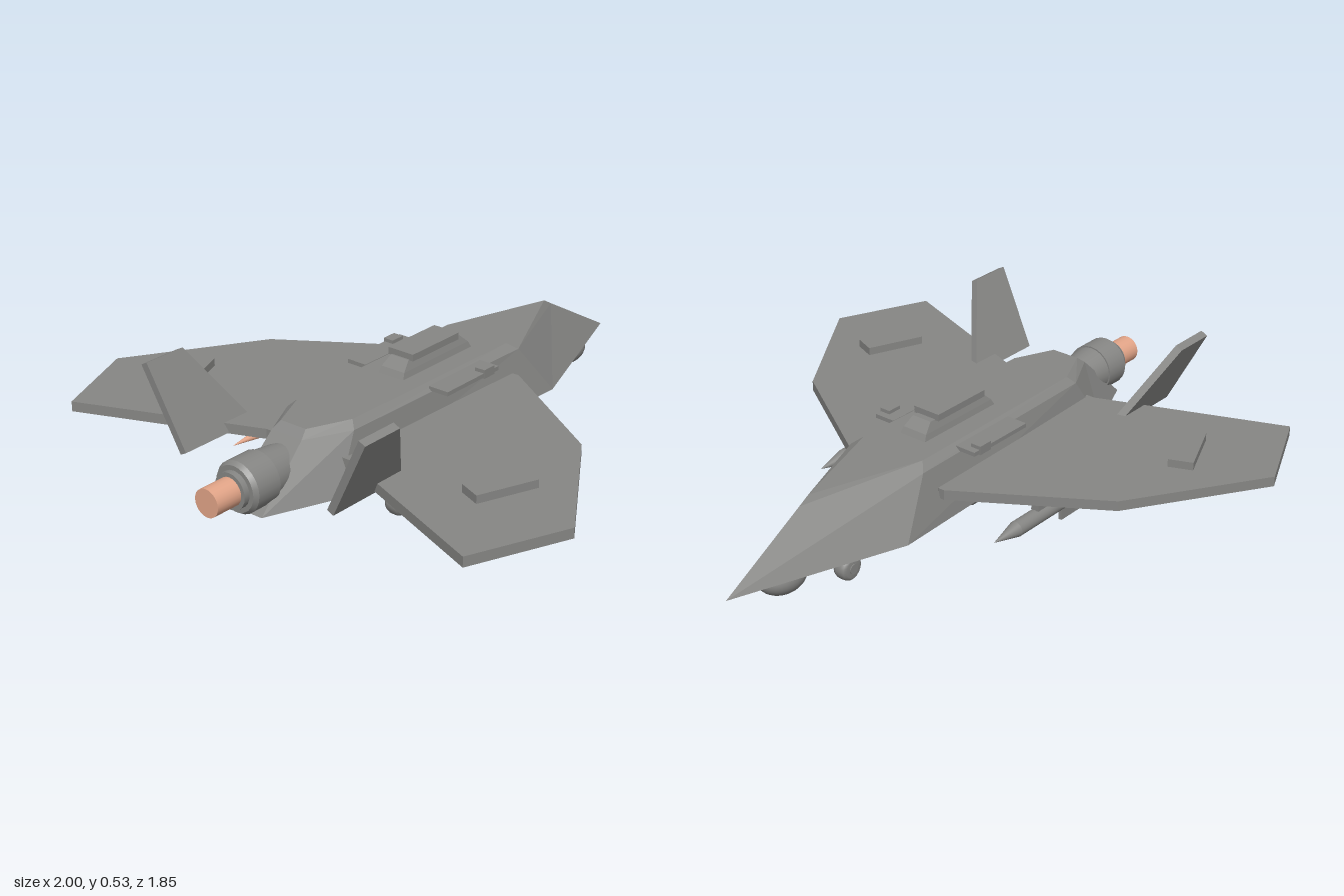
import * as THREE from 'three';

export function createModel() {
  const model = new THREE.Group();
  const grey = new THREE.MeshStandardMaterial({ name: 'airframe grey', color: 0x868684 });
  const copper = new THREE.MeshStandardMaterial({ name: 'exhaust copper', color: 0xe3a588 });

  const add = (name, geo, x = 0, y = 0, z = 0, mat = grey) => {
    const m = new THREE.Mesh(geo, mat);
    m.name = name;
    m.position.set(x, y, z);
    model.add(m);
    return m;
  };
  const box = (name, x0, x1, y0, y1, z0, z1) =>
    add(name, new THREE.BoxGeometry(x1 - x0, y1 - y0, Math.abs(z1 - z0)), (x0 + x1) / 2, (y0 + y1) / 2, (z0 + z1) / 2);
  // Cylinder along x: rBack at x0, rFront at x1
  const tube = (name, x0, x1, rBack, rFront, y, z, mat, sides = 24) =>
    add(name, new THREE.CylinderGeometry(rFront, rBack, x1 - x0, sides).rotateZ(-Math.PI / 2), (x0 + x1) / 2, y, z, mat);
  const plate = (pts, depth) => new THREE.ExtrudeGeometry(
    new THREE.Shape(pts.map(p => new THREE.Vector2(...p))), { depth, bevelEnabled: false });

  // Faceted solid from stacked plan outlines of equal point count: [y, [[x, z], ...]]
  const stack = (levels) => {
    const n = levels[0][1].length, pos = [], idx = [];
    for (const [y, ring] of levels) for (const [x, z] of ring) pos.push(x, y, z);
    for (let l = 0; l < levels.length - 1; l++) {
      for (let i = 0; i < n; i++) {
        const a = l * n + i, b = l * n + (i + 1) % n;
        idx.push(a, a + n, b, b, a + n, b + n);
      }
    }
    const t = (levels.length - 1) * n;
    for (let i = 1; i < n - 1; i++) idx.push(0, i, i + 1, t, t + i + 1, t + i);
    const g = new THREE.BufferGeometry();
    g.setAttribute('position', new THREE.Float32BufferAttribute(pos, 3));
    g.setIndex(idx);
    const flat = g.toNonIndexed();
    flat.computeVertexNormals();
    return flat;
  };
  // Closed symmetrical outline from a nose point and points on the +z side
  const outline = (nose, side) => [[nose, 0], ...side, ...side.map(([x, z]) => [x, -z]).reverse()];
  const rect = (x0, x1, w) => [[x1, -w], [x1, w], [x0, w], [x0, -w]];

  // Fuselage: broad belly, bevelled narrower top
  add('fuselage', stack([
    [0.185, outline(0.995, [[0.42, 0.2], [-0.62, 0.165], [-0.85, 0.07]])],
    [0.362, outline(0.68, [[0.29, 0.15], [-0.51, 0.135], [-0.66, 0.06]])],
    [0.385, outline(0.64, [[0.26, 0.122], [-0.49, 0.112], [-0.63, 0.05]])],
  ]));

  // Dorsal housing with a flat cap
  add('dorsalHousing', stack([
    [0.38, rect(-0.182, 0.168, 0.052)],
    [0.405, rect(-0.168, 0.155, 0.046)],
    [0.435, rect(-0.135, 0.122, 0.036)],
  ]));
  box('dorsalCap', -0.13, 0.1, 0.432, 0.455, -0.05, 0.05);

  // Engine
  const nozzle = [[0, -0.18], [0.075, -0.18], [0.085, -0.1], [0.085, 0], [0.07, 0.02], [0, 0.02]]
    .map(p => new THREE.Vector2(...p));
  tube('engineHousing', -0.87, -0.78, 0.085, 0.085, 0.272, 0);
  tube('engineRim', -0.885, -0.87, 0.075, 0.085, 0.272, 0);
  tube('engineCollar', -0.905, -0.885, 0.06, 0.06, 0.272, 0);
  tube('engineRoot', -0.78, -0.6, 0.08, 0.06, 0.272, 0);
  tube('exhaust', -1, -0.9, 0.046, 0.046, 0.272, 0, copper);

  // Wheel: rounded tyre, hub caps and a strut
  const wheel = (name, x, y, z, r, half, strutR) => {
    const profile = [[0, -half], [r * 0.7, -half], [r * 0.92, -half * 0.75], [r, -half * 0.35],
      [r, half * 0.35], [r * 0.92, half * 0.75], [r * 0.7, half], [0, half]].map(p => new THREE.Vector2(...p));
    add(name + 'Tyre', new THREE.LatheGeometry(profile, 24).rotateX(Math.PI / 2), x, y, z);
    add(name + 'Hub', new THREE.CylinderGeometry(r * 0.4, r * 0.4, half * 2.2, 16).rotateX(Math.PI / 2), x, y, z);
    add(name + 'Strut', new THREE.CylinderGeometry(strutR, strutR, 0.2 - y, 12), x, (0.2 + y) / 2, z);
  };
  wheel('noseWheel', 0.48, 0.06, 0, 0.044, 0.027, 0.014);

  // Sensor dome and belly pod
  add('noseSensor', new THREE.SphereGeometry(1, 28, 18).scale(0.088, 0.06, 0.07), 0.766, 0.17, 0);
  add('bellyPod', stack([
    [0.08, rect(-0.15, -0.035, 0.08)],
    [0.1, rect(-0.16, -0.022, 0.092)],
    [0.19, rect(-0.16, -0.022, 0.092)],
  ]));

  for (const s of [1, -1]) {
    const side = s > 0 ? 'right' : 'left';

    // Wing
    const wing = [[0.24, 0.17], [0.24, 0.19], [-0.05, 0.642], [-0.49, 0.925], [-0.813, 0.785], [-0.57, 0.17], [-0.57, 0.1], [0.2, 0.1]];
    add(side + 'Wing', plate(wing.map(([x, z]) => [x, s * z]), 0.034).rotateX(Math.PI / 2), 0, 0.296, 0);
    add(side + 'WingPanel', new THREE.BoxGeometry(0.208, 0.04, 0.082), -0.44, 0.303, s * 0.63).rotation.y = -s * 0.39;

    // Canted tail fin
    const fin = plate([[-0.802, 0], [-0.5, 0], [-0.665, 0.298], [-0.815, 0.298]], 0.026).translate(0, 0, -0.013);
    add(side + 'TailFin', fin, 0, 0.26, s * 0.297).rotation.x = s * 0.47;

    // Side rail and its block
    box(side + 'SideRail', -0.15, 0.11, 0.364, 0.378, s * 0.13, s * 0.205);
    box(side + 'RailBlock', 0.033, 0.085, 0.36, 0.39, s * 0.17, s * 0.208);

    // Missile with pylon, cross fins and tapered tail
    const my = 0.16, mz = s * 0.365;
    tube(side + 'MissileBody', -0.25, 0.1, 0.026, 0.026, my, mz);
    tube(side + 'MissileNose', 0.1, 0.205, 0.026, 0.001, my, mz);
    tube(side + 'MissileFlame', -0.52, -0.24, 0.001, 0.038, my, mz, copper);
    box(side + 'MissileFinVertical', -0.24, -0.13, 0.092, 0.228, mz - 0.006, mz + 0.006);
    box(side + 'MissileFinHorizontal', -0.24, -0.13, my - 0.006, my + 0.006, mz - 0.068, mz + 0.068);
    box(side + 'MissilePylon', -0.305, 0.005, 0.185, 0.242, mz - 0.014, mz + 0.014);

    wheel(side + 'MainWheel', -0.31, 0.056, s * 0.145, 0.055, 0.027, 0.014);
  }

  // Ground the tyres at y = 0
  model.children.forEach(m => { m.position.y -= 0.001; });
  return model;
}
